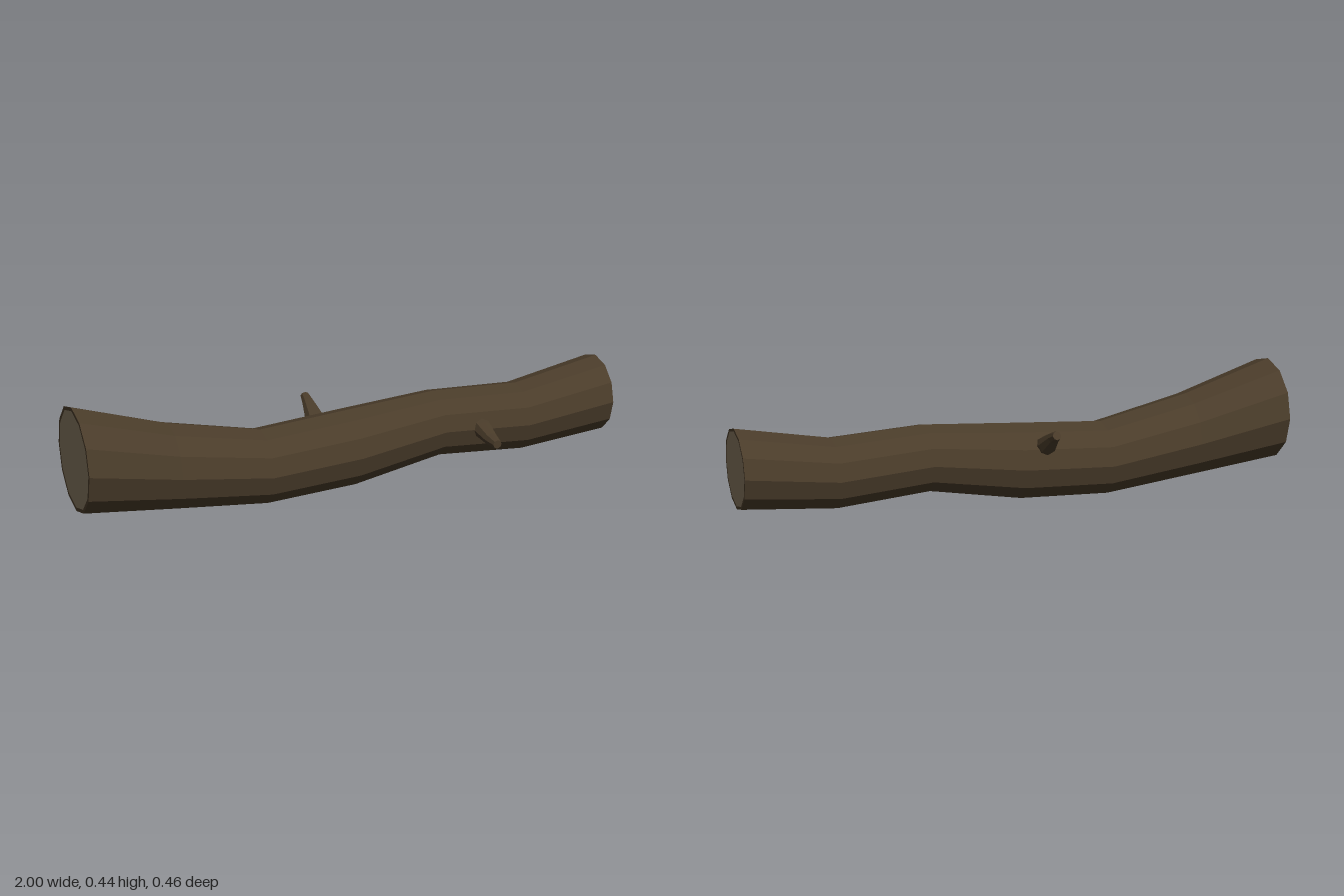
import * as THREE from 'three';

const bark = new THREE.MeshStandardMaterial({ color: 0x4a3c2a, flatShading: true });
const wood = new THREE.MeshStandardMaterial({ color: 0x85765f, flatShading: true });

// Ring of points around a centre, in the plane across the given axis
function ring(center, axis, radius, sides) {
  const t = axis.clone().normalize();
  const u = new THREE.Vector3(0, 1, 0).addScaledVector(t, -t.y).normalize();
  const v = t.clone().cross(u);
  return Array.from({ length: sides }, (_, k) => {
    const a = (k / sides) * Math.PI * 2;
    return center.clone().addScaledVector(u, radius * Math.cos(a)).addScaledVector(v, radius * Math.sin(a));
  });
}

// Skin joining consecutive rings, optionally closed at the last ring
function loft(name, rings, material, capEnd = false) {
  const n = rings[0].length;
  const index = [];
  for (let i = 0; i < rings.length - 1; i++) {
    for (let k = 0; k < n; k++) {
      const a = i * n + k, b = i * n + (k + 1) % n;
      index.push(a, b, b + n, a, b + n, a + n);
    }
  }
  if (capEnd) {
    const s = (rings.length - 1) * n;
    for (let k = 1; k < n - 1; k++) index.push(s, s + k, s + k + 1);
  }
  const geometry = new THREE.BufferGeometry().setFromPoints(rings.flat());
  geometry.setIndex(index);
  geometry.computeVertexNormals();
  const mesh = new THREE.Mesh(geometry, material);
  mesh.name = name;
  return mesh;
}

// Flat sawn face of the log, pointing along +x or -x
function cutFace(name, center, radius, sides, direction) {
  const mesh = new THREE.Mesh(new THREE.CircleGeometry(radius, sides, Math.PI / 2), wood);
  mesh.rotation.y = direction * Math.PI / 2;
  mesh.position.copy(center);
  mesh.name = name;
  return mesh;
}

// Short tapering branch stub: sections are [x, y, z, radius]
function stub(name, sections) {
  const points = sections.map(([x, y, z]) => new THREE.Vector3(x, y, z));
  const rings = points.map((p, i) => {
    const axis = points[Math.min(i + 1, points.length - 1)].clone().sub(points[Math.max(i - 1, 0)]);
    return ring(p, axis, sections[i][3], 8);
  });
  return loft(name, rings, bark, true);
}

export function createModel() {
  const group = new THREE.Group();
  group.name = 'log';
  const sides = 12, rim = 0.93;
  const X = new THREE.Vector3(1, 0, 0);

  // Bent trunk: x, centre y, centre z, radius
  const sections = [
    [-1, 0.26, -0.011, 0.185],
    [-0.667, 0.19, -0.01, 0.152],
    [-0.333, 0.137, -0.011, 0.134],
    [0, 0.159, -0.012, 0.138],
    [0.333, 0.203, -0.011, 0.12],
    [0.667, 0.184, -0.011, 0.125],
    [1, 0.232, -0.009, 0.141],
  ];
  const centers = sections.map(([x, y, z]) => new THREE.Vector3(x, y, z));
  const rings = sections.map((s, i) => ring(centers[i], X, s[3], sides));

  // Bark folds inwards at both ends to form the rim round the cut faces
  const rStart = sections[0][3] * rim, rEnd = sections[6][3] * rim;
  rings.unshift(ring(centers[0], X, rStart, sides));
  rings.push(ring(centers[6], X, rEnd, sides));
  group.add(loft('trunkBark', rings, bark));
  group.add(cutFace('rightCutFace', centers[0], rStart, sides, -1));
  group.add(cutFace('leftCutFace', centers[6], rEnd, sides, 1));

  // Branch stubs
  group.add(stub('frontStub', [
    [0.475, 0.203, 0.07, 0.038],
    [0.475, 0.194, 0.115, 0.033],
    [0.473, 0.181, 0.18, 0.024],
    [0.472, 0.178, 0.23, 0.016],
  ]));
  group.add(stub('backStub', [
    [-0.08, 0.215, -0.085, 0.038],
    [-0.08, 0.24, -0.13, 0.034],
    [-0.08, 0.28, -0.188, 0.021],
    [-0.079, 0.296, -0.222, 0.0155],
  ]));
  return group;
}
